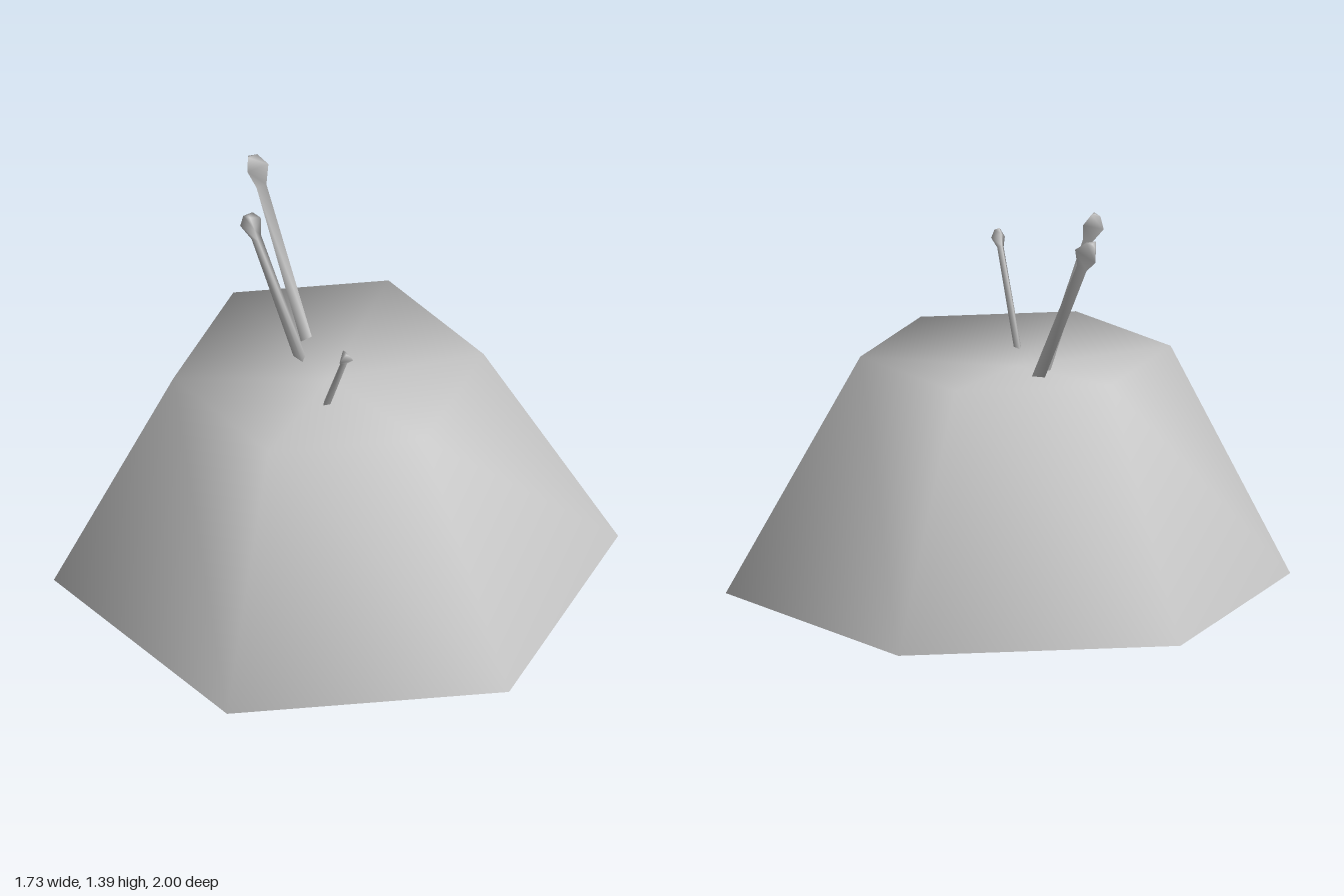
import * as THREE from 'three';
import { mergeVertices } from 'three/addons/utils/BufferGeometryUtils.js';

const grey = new THREE.MeshStandardMaterial({ color: 0xc8c8c8, side: THREE.DoubleSide });
grey.name = 'plain grey';

// Six-sided hollow mound, open below, with a slightly off-centre, shallow dished top
function createMound() {
  const sides = 6, height = 0.845, topRadius = 0.55, dip = 0.055;
  const positions = [], index = [];
  for (let i = 0; i < sides; i++) {
    const angle = (i / sides) * Math.PI * 2;
    const x = Math.sin(angle), z = Math.cos(angle);
    positions.push(x, 0, z, x * topRadius - 0.02, height, z * topRadius + 0.02);
    const bottom = 2 * i, top = bottom + 1;
    const nextBottom = 2 * ((i + 1) % sides), nextTop = nextBottom + 1;
    index.push(top, bottom, nextBottom, top, nextBottom, nextTop);
    index.push(top, nextTop, 2 * sides);
  }
  positions.push(-0.02, height - dip, 0.02);
  const geometry = new THREE.BufferGeometry();
  geometry.setAttribute('position', new THREE.Float32BufferAttribute(positions, 3));
  geometry.setIndex(index);
  geometry.computeVertexNormals();
  const mesh = new THREE.Mesh(geometry, grey);
  mesh.name = 'mound';
  return mesh;
}

// Leaning three-sided stalk with a bulb on its end; one corner faces along
// the lean (corner = 1) or against it (corner = -1)
function createStalk(name, base, tip, size, corner) {
  const start = new THREE.Vector3(...base);
  const axis = new THREE.Vector3(...tip).sub(start);
  const length = axis.length();
  axis.normalize();
  const profile = [
    [0, 0], [0.024, 0], [0.021, length - 0.1 * size],
    [0.045, length - 0.04 * size], [0.02, length], [0, length],
  ].map(([r, y]) => new THREE.Vector2(r * size, y));
  const lathe = new THREE.LatheGeometry(profile, 3);
  lathe.deleteAttribute('normal');
  lathe.deleteAttribute('uv');
  const geometry = mergeVertices(lathe, 1e-4);
  geometry.computeVertexNormals();
  const mesh = new THREE.Mesh(geometry, grey);
  mesh.position.copy(start);
  mesh.quaternion.setFromUnitVectors(new THREE.Vector3(0, 1, 0), axis);
  mesh.rotateY(Math.atan2(axis.x * corner, axis.z * corner));
  mesh.name = name;
  return mesh;
}

export function createModel() {
  const model = new THREE.Group();
  model.name = 'moundWithStalks';
  model.add(
    createMound(),
    createStalk('backStalk', [-0.16, 0.77, -0.13], [-0.468, 1.385, -0.35], 1.12, 1),
    createStalk('middleStalk', [-0.14, 0.77, -0.04], [-0.339, 1.39, -0.015], 1, 1),
    createStalk('frontStalk', [0.028, 0.785, 0.172], [0.187, 1.18, 0.355], 0.65, -1),
  );
  return model;
}
